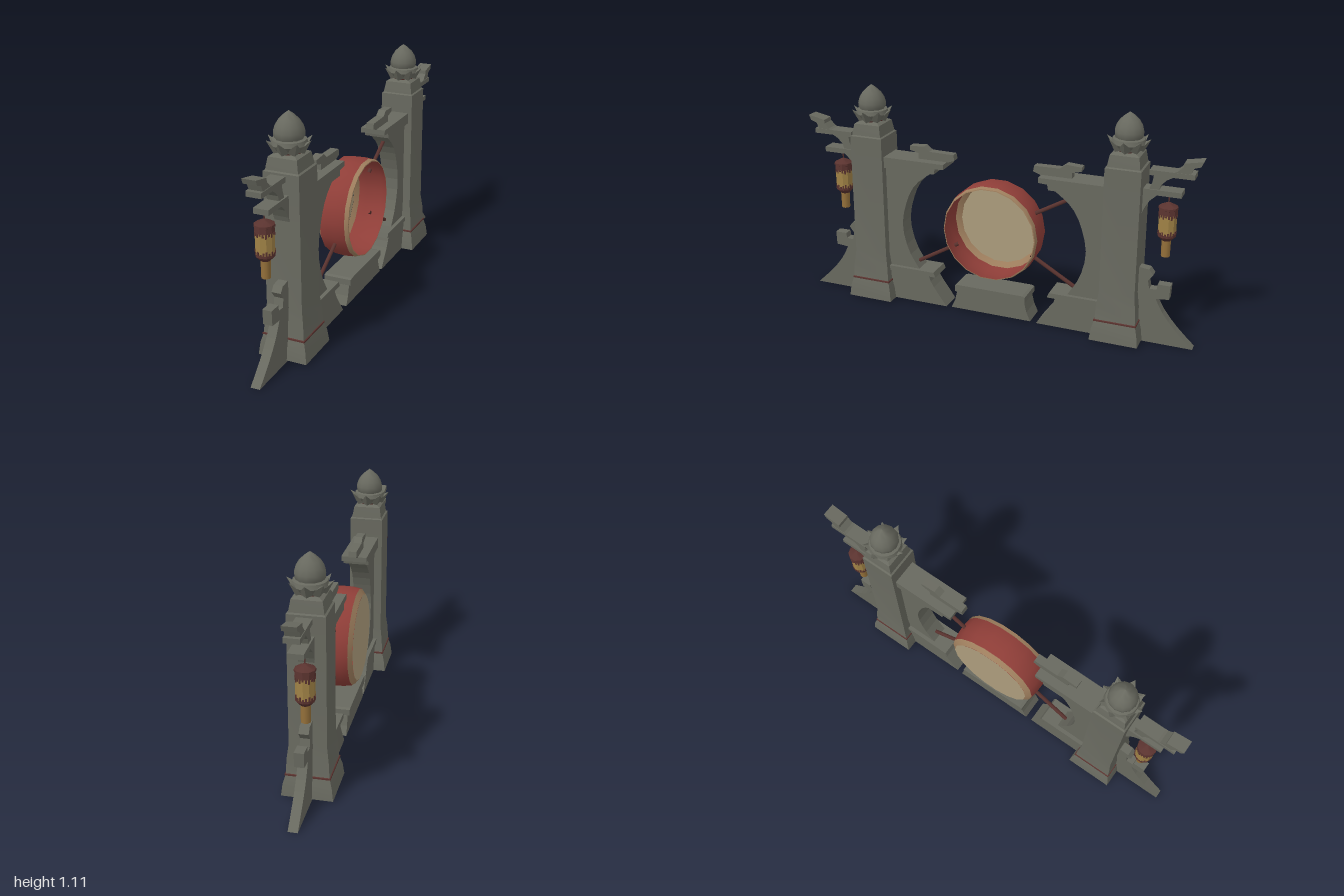
import * as THREE from 'three';
import { toCreasedNormals } from 'three/addons/utils/BufferGeometryUtils.js';

const mat = (name, color, side = THREE.FrontSide) => {
  const m = new THREE.MeshStandardMaterial({ color, side });
  m.name = name;
  return m;
};

export function createModel() {
  const stone = mat('stone', 0x68695f, THREE.DoubleSide);
  const red = mat('drum red', 0x8f3e38, THREE.DoubleSide);
  const skin = mat('drum skin', 0xac9c7c, THREE.DoubleSide);
  const rimTan = mat('rim tan', 0x9f7f5e, THREE.DoubleSide);
  const maroon = mat('maroon', 0x5a332f);
  const amber = mat('lantern amber', 0xa08246);
  const brass = mat('lantern brass', 0x94703a);

  const add = (parent, name, geometry, material) => {
    const mesh = new THREE.Mesh(geometry, material);
    mesh.name = name;
    parent.add(mesh);
    return mesh;
  };

  // Lathe from [radius, height] pairs, bottom to top
  const turned = (points, sides, crease = 0.6) => toCreasedNormals(
    new THREE.LatheGeometry(points.map(([r, y]) => new THREE.Vector2(r, y)), sides), crease);

  // Square stack from [half width, height] pairs
  const square = (points) =>
    turned(points.map(([h, y]) => [h * Math.SQRT2, y]), 4, 0.3).rotateY(Math.PI / 4);

  // Side profile of [z, y] pairs, extruded along x and centred
  const slab = (points, halfWidth) => {
    const shape = new THREE.Shape(points.map(([z, y]) => new THREE.Vector2(z, y)));
    const g = new THREE.ExtrudeGeometry(shape, { depth: halfWidth * 2, bevelEnabled: false });
    return g.translate(0, 0, -halfWidth).rotateY(-Math.PI / 2);
  };

  // Smooth curve sampled as profile points
  const curve = (points, n = 10) =>
    new THREE.SplineCurve(points.map(([a, b]) => new THREE.Vector2(a, b))).getPoints(n).map((p) => [p.x, p.y]);

  // Round bar between two points in the x = 0 plane
  const rod = (z1, y1, z2, y2, r) => new THREE.TubeGeometry(
    new THREE.LineCurve3(new THREE.Vector3(0, y1, z1), new THREE.Vector3(0, y2, z2)), 1, r, 6);

  function createFinial() {
    const g = new THREE.Group();
    g.name = 'lotusFinial';
    add(g, 'neckRing', turned([[0, 0.932], [0.052, 0.934], [0.056, 0.944], [0.04, 0.948]], 12), maroon);
    add(g, 'calyx', turned([[0.043, 0.936], [0.066, 0.95], [0.08, 0.972], [0.074, 0.992], [0.05, 0.998]], 16), stone);
    add(g, 'bud', turned([[0.055, 0.985], [0.066, 1.005], [0.067, 1.025], [0.06, 1.05],
      [0.045, 1.075], [0.022, 1.097], [0, 1.113]], 12, 0.9), stone);
    for (let i = 0; i < 8; i++) {
      const petal = new THREE.ConeGeometry(0.036, 0.066, 4).toNonIndexed();
      petal.computeVertexNormals();
      petal.scale(1, 1, 0.6).rotateX(0.8).translate(0, 0.973, 0.078).rotateY(i * Math.PI / 4);
      add(g, 'petal', petal, stone);
    }
    return g;
  }

  function createLantern() {
    const g = new THREE.Group();
    g.name = 'lantern';
    add(g, 'hanger', new THREE.CylinderGeometry(0.003, 0.003, 0.07, 5).translate(0, 0.73, 0), maroon);
    add(g, 'roof', turned([[0, 0.65], [0.044, 0.65], [0.042, 0.672], [0.046, 0.674], [0.045, 0.684],
      [0.015, 0.7], [0, 0.707]], 10), maroon);
    add(g, 'body', turned([[0.042, 0.545], [0.042, 0.655]], 10), amber);
    add(g, 'lowerCollar', turned([[0, 0.52], [0.022, 0.52], [0.043, 0.542], [0.043, 0.553], [0.03, 0.553]], 10), maroon);
    add(g, 'tail', new THREE.CylinderGeometry(0.022, 0.021, 0.085, 10).translate(0, 0.4825, 0), brass);
    // Ragged fringe above and below the glass
    for (let i = 0; i < 20; i++) {
      const h = 0.01 + 0.012 * ((i * 7) % 5) / 4;
      for (const y of [0.652 - h / 2, 0.551 + h / 2]) {
        add(g, 'fringe', new THREE.BoxGeometry(0.008, h, 0.003)
          .translate(0, y, 0.0415).rotateY(i * Math.PI / 10), maroon);
      }
    }
    return g;
  }

  function createSide(sign) {
    const g = new THREE.Group();
    g.name = sign > 0 ? 'frontGate' : 'backGate';

    // Pillar
    const pillar = new THREE.Group();
    pillar.name = 'pillar';
    pillar.position.z = 0.642;
    add(pillar, 'shaft', square([[0.117, 0.01], [0.11, 0.068], [0.1, 0.104], [0.097, 0.118], [0.094, 0.185],
      [0.085, 0.255], [0.084, 0.865], [0.076, 0.87], [0.074, 0.885], [0.067, 0.925], [0.045, 0.937], [0, 0.937]]), stone);
    add(pillar, 'footBand', square([[0.098, 0.104], [0.102, 0.106], [0.102, 0.113], [0.097, 0.115]]), maroon);
    pillar.add(createFinial());
    g.add(pillar);

    // Arched inner panel with its ledges
    const arch = curve([[0.30, 0.72], [0.396, 0.645], [0.448, 0.55], [0.476, 0.417], [0.446, 0.283], [0.385, 0.18]], 12);
    add(g, 'archPanel', slab([[0.58, 0.72], ...arch, [0.58, 0.18]], 0.045), stone);
    add(g, 'upperShelf', slab([[0.58, 0.77], [0.24, 0.77], [0.24, 0.745], [0.285, 0.742], [0.29, 0.715], [0.58, 0.715]], 0.064), stone);
    add(g, 'lowerLedge', slab([[0.58, 0.19], [0.305, 0.19], [0.295, 0.165], [0.58, 0.165]], 0.064), stone);
    add(g, 'innerPlinth', slab([[0.58, 0.166], [0.335, 0.166], [0.325, 0.135], [0.308, 0.105], [0.24, 0.01], [0.58, 0.01]], 0.055), stone);
    add(g, 'shelfOrnament', slab([[0.435, 0.83], [0.36, 0.835], [0.33, 0.812], [0.205, 0.81], [0.2, 0.782],
      [0.24, 0.768], [0.39, 0.768], [0.39, 0.798], [0.435, 0.81]], 0.02), stone);

    // Outer lantern bracket
    add(g, 'bracketArm', slab([[0.9, 0.775], [0.7, 0.775], [0.7, 0.64], [0.722, 0.645], [0.735, 0.68],
      [0.758, 0.72], [0.79, 0.75], [0.9, 0.75]], 0.035), stone);
    add(g, 'bracketStrut', slab([[0.75, 0.77], [0.795, 0.77], [0.805, 0.8], [0.83, 0.825], [0.865, 0.845],
      [0.77, 0.845], [0.765, 0.81]], 0.028), stone);
    add(g, 'bracketUpperArm', slab([[0.952, 0.866], [0.75, 0.866], [0.75, 0.842], [0.952, 0.842]], 0.035), stone);
    add(g, 'bracketTip', slab([[0.985, 0.93], [0.9, 0.913], [0.898, 0.895], [0.875, 0.872], [0.85, 0.86],
      [0.93, 0.86], [0.945, 0.895], [0.975, 0.905]], 0.032), stone);

    // Curled buttress at the foot
    const sweep = curve([[1, 0.003], [0.915, 0.085], [0.85, 0.165], [0.813, 0.235]], 6);
    add(g, 'buttress', slab([[0.7, 0.003], ...sweep, [0.875, 0.24], [0.878, 0.31], [0.818, 0.31], [0.815, 0.283],
      [0.78, 0.28], [0.772, 0.32], [0.795, 0.352], [0.775, 0.378], [0.73, 0.383], [0.7, 0.36]], 0.022), stone);

    const lantern = createLantern();
    lantern.position.set(-0.022 * sign, 0, 0.835);
    g.add(lantern);

    if (sign < 0) g.rotation.y = Math.PI;
    return g;
  }

  function createDrum() {
    const g = new THREE.Group();
    g.name = 'drum';
    g.position.y = 0.45;
    const toAxis = (geo) => geo.rotateZ(-Math.PI / 2);
    add(g, 'shell', toAxis(turned([[0.236, -0.068], [0.243, -0.03], [0.245, 0.01], [0.242, 0.05], [0.234, 0.08]], 18)), red);
    add(g, 'openRim', toAxis(turned([[0.2415, 0.061], [0.2355, 0.08], [0.231, 0.081]], 18)), rimTan);
    add(g, 'skinRim', toAxis(turned([[0.21, -0.087], [0.236, -0.068]], 18)), rimTan);
    add(g, 'skin', toAxis(turned([[0, -0.088], [0.211, -0.088]], 18)), skin);
    return g;
  }

  const model = new THREE.Group();
  model.name = 'drumGate';
  model.add(createSide(1), createSide(-1), createDrum());

  // Bars that hold the drum
  for (const [z1, y1, z2, y2] of [[0.42, 0.21, 0.19, 0.345], [-0.42, 0.21, -0.19, 0.345], [-0.4, 0.675, -0.19, 0.555]]) {
    add(model, 'drumBar', rod(z1, y1, z2, y2, 0.01), maroon);
  }

  // Low stone beneath the drum
  const base = new THREE.Group();
  base.name = 'centreStone';
  add(base, 'stoneBody', slab([[-0.21, 0.015], [0.21, 0.015], [0.19, 0.06], [0.178, 0.11], [-0.178, 0.11], [-0.19, 0.06]], 0.058), stone);
  add(base, 'stoneCap', slab([[-0.16, 0.107], [0.16, 0.107], [0.185, 0.115], [0.185, 0.145], [0.17, 0.15],
    [-0.17, 0.15], [-0.185, 0.145], [-0.185, 0.115]], 0.07), stone);
  model.add(base);
  return model;
}
